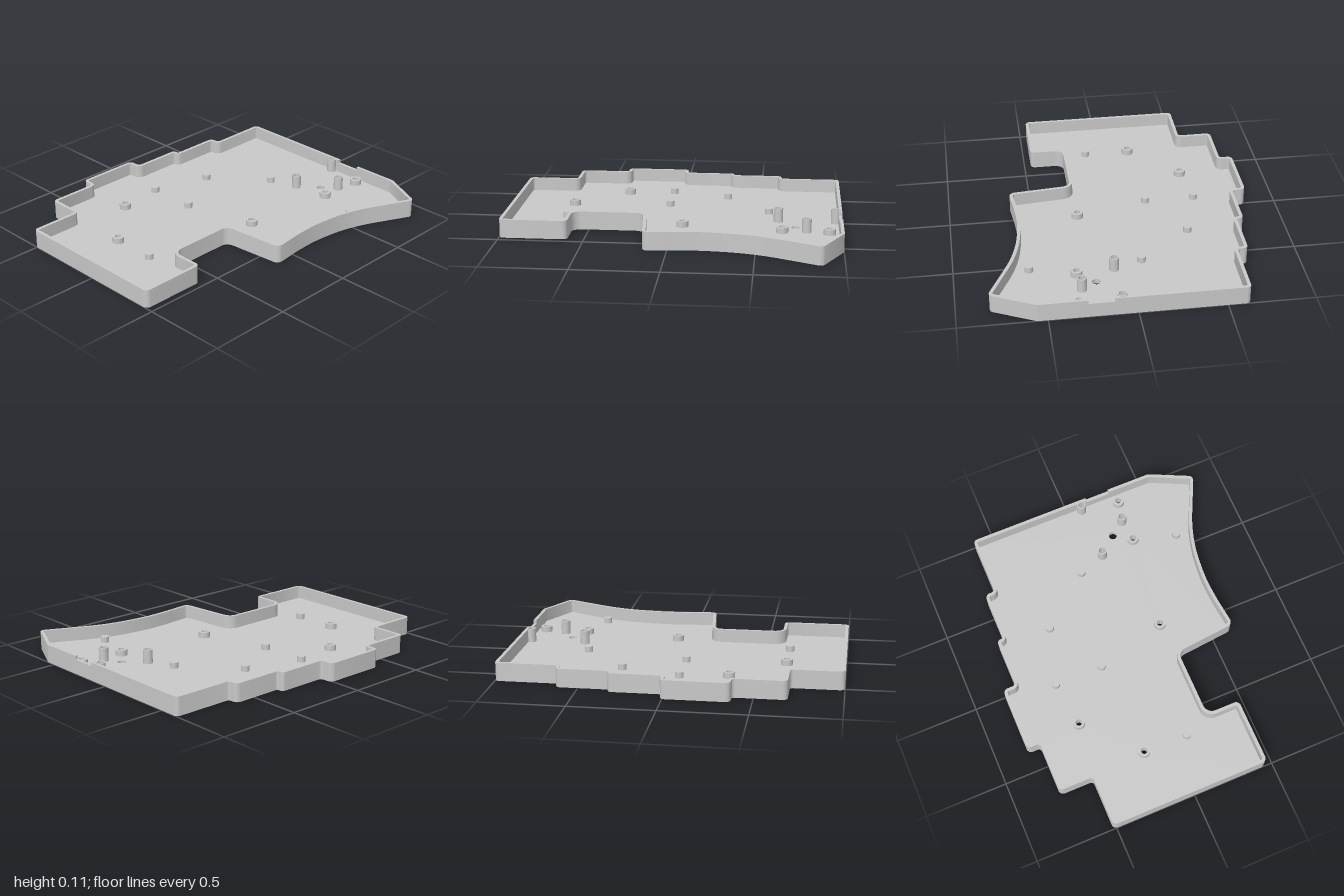
import * as THREE from 'three';
import { toCreasedNormals } from 'three/addons/utils/BufferGeometryUtils.js';

const WALL = 0.02, FLOOR_TOP = 0.03, NOTCH_Y = 0.088, RIM_Y = 0.11;

// Plan corners [x, z, radius]; starts and ends at the cable notch in the left (+x) wall
const corners = [
  [1, 0.28, 0], [1, 0.56, 0.03], [0.875, 0.821, 0.03],
  [0.56, 0.67, 0.8], [0.4, 0.625, 0.8], [0.2, 0.604, 0.8], [0.05, 0.612, 0.8],
  [-0.138, 0.633, 0.035], [-0.174, 0.253, 0.05], [-0.598, 0.253, 0.055],
  [-0.598, 0.46, 0.03], [-1, 0.46, 0.03], [-1, -0.52, 0.03],
  [-0.69, -0.52, 0.02], [-0.69, -0.73, 0.03], [-0.38, -0.73, 0.02],
  [-0.38, -0.81, 0.03], [0.014, -0.81, 0.03], [0.014, -0.73, 0.02],
  [0.322, -0.73, 0.022], [0.322, -0.69, 0.015], [0.63, -0.69, 0.03],
  [0.63, -0.627, 0.02], [1, -0.627, 0.025], [1, 0.13, 0],
];

// Sample the outline moved inward by t, with rounded corners
function outline(t) {
  const n = corners.length;
  const at = (i) => new THREE.Vector2(...corners[(i + n) % n].slice(0, 2));
  const moved = corners.map((c, i) => {
    const d1 = at(i).sub(at(i - 1)).normalize(), d2 = at(i + 1).sub(at(i)).normalize();
    const n1 = new THREE.Vector2(-d1.y, d1.x), n2 = new THREE.Vector2(-d2.y, d2.x);
    const m = n1.clone().add(n2).multiplyScalar(t / (1 + n1.dot(n2)));
    const turn = Math.sign(d1.cross(d2));
    return { p: at(i).add(m), r: c[2] ? Math.max(0.002, c[2] - turn * t) : 0 };
  });
  return moved.flatMap(({ p, r }, i) => {
    if (!r) return [p];
    const u = moved[(i + n - 1) % n].p.clone().sub(p).normalize();
    const v = moved[(i + 1) % n].p.clone().sub(p).normalize();
    const half = Math.acos(THREE.MathUtils.clamp(u.dot(v), -1, 1)) / 2;
    const reach = r / Math.tan(half);
    const centre = u.clone().add(v).normalize().multiplyScalar(r / Math.sin(half)).add(p);
    const start = p.clone().addScaledVector(u, reach).sub(centre);
    const end = p.clone().addScaledVector(v, reach).sub(centre);
    const sweep = Math.atan2(start.cross(end), start.dot(end));
    const steps = Math.max(2, Math.ceil(Math.abs(sweep) / 0.2));
    return Array.from({ length: steps + 1 }, (_, k) =>
      start.clone().rotateAround(new THREE.Vector2(), (sweep * k) / steps).add(centre));
  });
}

const circle = (x, z, r) => new THREE.Path().absarc(x, z, r, 0, Math.PI * 2);

export function createModel() {
  const group = new THREE.Group();
  const plastic = new THREE.MeshStandardMaterial({ color: 0xc8c8c8 });
  plastic.name = 'light grey plastic';

  // Raise a plan shape from y0 to y1
  function slab(name, points, holes, y0, y1) {
    const shape = new THREE.Shape(points);
    shape.holes = holes;
    const flat = new THREE.ExtrudeGeometry(shape, { depth: y1 - y0, bevelEnabled: false, curveSegments: 14 });
    flat.rotateX(Math.PI / 2).translate(0, y1, 0);
    const mesh = new THREE.Mesh(toCreasedNormals(flat, 0.6), plastic);
    mesh.name = name;
    group.add(mesh);
  }

  const standoffs = [[-0.338, -0.465], [-0.65, -0.175], [0.057, 0.234], [0.648, 0.306], [0.923, 0.323]];
  const pegs = [[-0.055, -0.5], [0.297, -0.398], [-0.055, -0.2], [0.563, -0.08], [-0.653, 0.1], [0.572, 0.57]];
  const tallPosts = [[0.622, 0.087], [0.79, 0.291], [0.963, 0.087]];
  const outer = outline(0), inner = outline(WALL);

  // Floor with screw holes and a reset hole
  slab('floor', outer, [...standoffs.map(([x, z]) => circle(x, z, 0.019)), circle(0.726, 0.202, 0.025)], 0, FLOOR_TOP);

  // Wall: closed below the notch, open at the notch above
  slab('lowerWall', outer, [new THREE.Path(inner)], FLOOR_TOP, NOTCH_Y);
  slab('upperWall', [...outer, ...inner.slice().reverse()], [], NOTCH_Y, RIM_Y);

  // Fittings on the floor
  const disc = (x, z, r) => circle(x, z, r).getPoints(14).slice(0, -1);
  standoffs.forEach(([x, z]) =>
    slab('screwStandoff', disc(x, z, 0.035), [circle(x, z, 0.019)], FLOOR_TOP, 0.065));
  pegs.forEach(([x, z]) => slab('supportPeg', disc(x, z, 0.025), [], FLOOR_TOP, 0.065));
  tallPosts.forEach(([x, z]) =>
    slab('tallPost', disc(x, z, 0.028), [circle(x, z, 0.021)], FLOOR_TOP, 0.114));

  return group;
}
